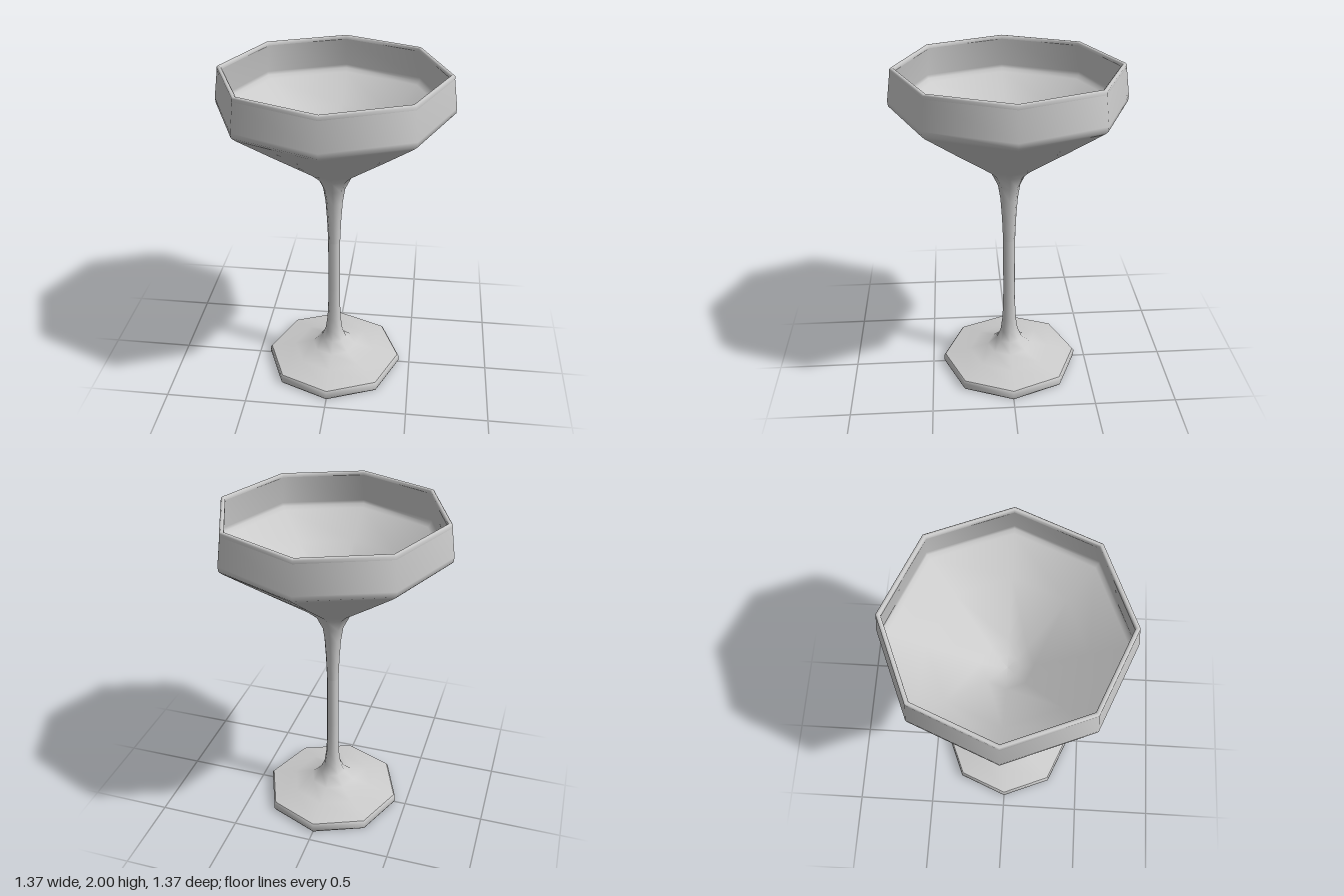
import * as THREE from 'three';

const SIDES = 8;
const material = new THREE.MeshStandardMaterial({ color: 0xcccccc, side: THREE.DoubleSide });

// Eight-sided revolved surface from [radius, height] pairs, smooth along its profile
function turned(name, profile) {
  const points = profile.map(([r, y]) => new THREE.Vector2(r, y));
  const mesh = new THREE.Mesh(new THREE.LatheGeometry(points, SIDES), material);
  mesh.name = name;
  return mesh;
}

export function createModel() {
  const glass = new THREE.Group();
  glass.name = 'coupeGlass';

  // Foot: flat underside, bevelled edge, and a top sweeping up into the stem
  const foot = new THREE.Group();
  foot.name = 'foot';
  foot.add(
    turned('footUnderside', [[0, 0.008], [0.39, 0.008]]),
    turned('footEdge', [[0.39, 0.008], [0.395, 0], [0.425, 0], [0.43, 0.012], [0.43, 0.045], [0.42, 0.058]]),
    turned('footTop', [
      [0.42, 0.058], [0.26, 0.092], [0.14, 0.125], [0.08, 0.18],
      [0.055, 0.24], [0.043, 0.33], [0.038, 0.45], [0.037, 0.55],
    ]),
  );

  // Straight stem
  const stem = turned('stem', [[0.037, 0.55], [0.037, 0.9]]);

  // Bowl: thin shell with a conical base and an upright, slightly inward wall
  const bowl = new THREE.Group();
  bowl.name = 'bowl';
  bowl.add(
    turned('bowlOutside', [
      [0.037, 0.9], [0.043, 1.05], [0.052, 1.18], [0.066, 1.27], [0.105, 1.35], [0.16, 1.4],
      [0.44, 1.6], [0.66, 1.76], [0.682, 1.78], [0.685, 1.81], [0.662, 1.975],
    ]),
    turned('rim', [[0.662, 1.975], [0.662, 1.993], [0.655, 2], [0.643, 2], [0.636, 1.993], [0.636, 1.98]]),
    turned('bowlInside', [
      [0.636, 1.98], [0.66, 1.81], [0.655, 1.79], [0.635, 1.77], [0.44, 1.63], [0.15, 1.425], [0.07, 1.385], [0, 1.375],
    ]),
  );

  glass.add(foot, stem, bowl);
  return glass;
}
